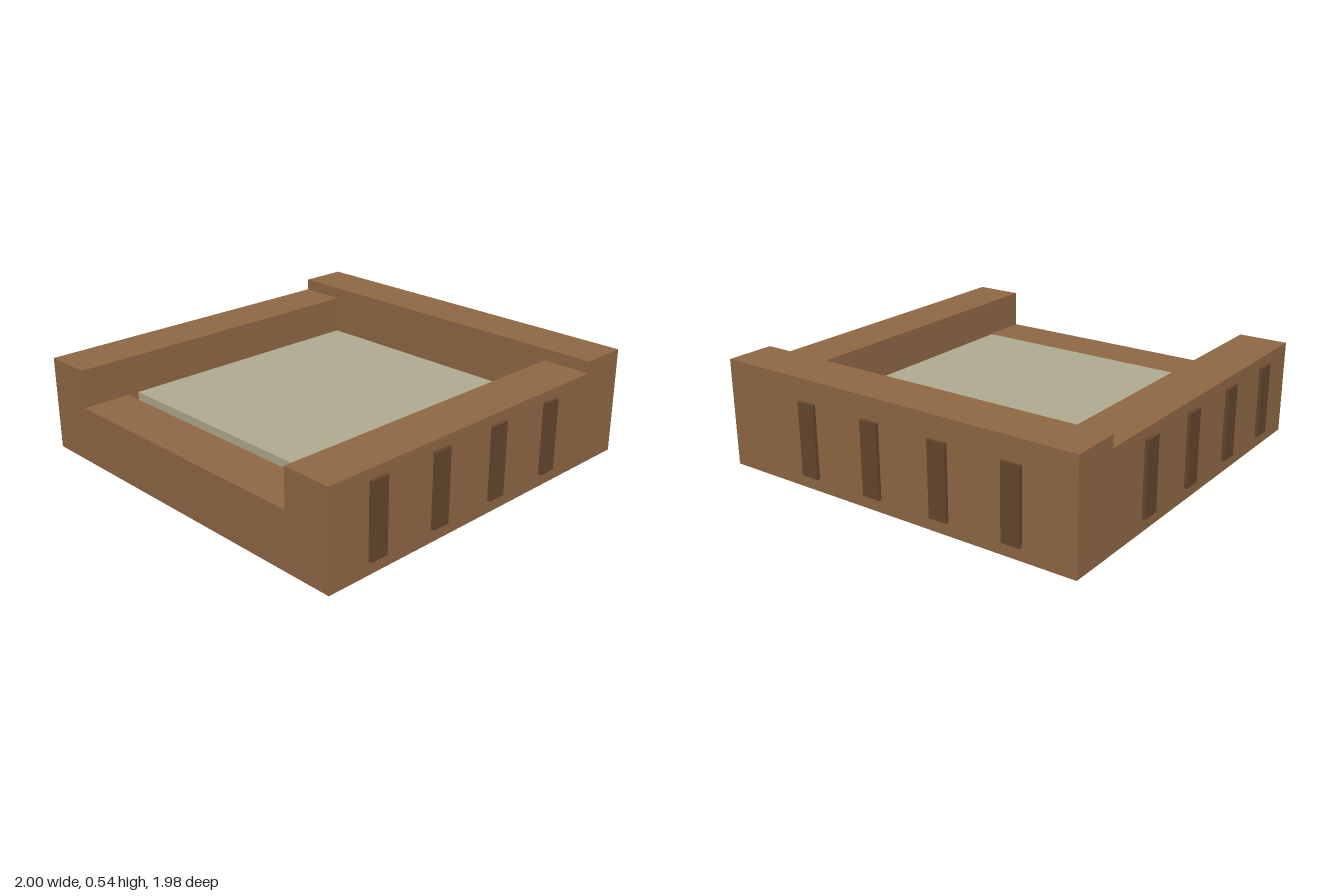
import * as THREE from 'three';

export function createModel() {
  const model = new THREE.Group();
  model.name = 'sunkenBed';

  const wood = new THREE.MeshStandardMaterial({ color: 0x8f6844 });
  const floorWood = new THREE.MeshStandardMaterial({ color: 0x7e5a3a });
  const darkWood = new THREE.MeshStandardMaterial({ color: 0x64462d });
  const cloth = new THREE.MeshStandardMaterial({ color: 0xb0aa90 });

  // Box given by its lowest and highest corners
  function block(name, [x0, y0, z0], [x1, y1, z1], material) {
    const mesh = new THREE.Mesh(new THREE.BoxGeometry(x1 - x0, y1 - y0, z1 - z0), material);
    mesh.position.set((x0 + x1) / 2, (y0 + y1) / 2, (z0 + z1) / 2);
    mesh.name = name;
    model.add(mesh);
  }

  const outer = 0.983, inner = 0.73;
  const back = -0.977, innerBack = -0.727, innerFront = 0.738, front = 0.99;

  // Frame: high back, two arms and a low front step
  block('backWall', [-outer, 0, back], [outer, 0.54, innerBack], wood);
  block('leftWall', [inner, 0, innerBack], [outer, 0.48, front], wood);
  block('rightWall', [-outer, 0, innerBack], [-inner, 0.48, front], wood);
  block('frontStep', [-inner, 0, innerFront], [inner, 0.286, front], wood);

  // Floor inside the frame, with the cushion on it
  block('floor', [-inner, 0, innerBack], [inner, 0.12, innerFront], floorWood);
  block('cushion', [-0.697, 0.12, -0.69], [0.697, 0.3, 0.7], cloth);

  // Dark slats on both sides and on the back
  const low = 0.065, high = 0.43, half = 0.0475, depth = 0.017;
  for (let i = 0; i < 4; i++) {
    const z = -0.422 + i * 0.381;
    block('leftSlat', [outer - 0.01, low, z - half], [outer + depth, high, z + half], darkWood);
    block('rightSlat', [-outer - depth, low, z - half], [-outer + 0.01, high, z + half], darkWood);
    const x = -0.67 + i * 0.381;
    block('backSlat', [x - half, low, back - depth], [x + half, high, back + 0.01], darkWood);
  }
  return model;
}
